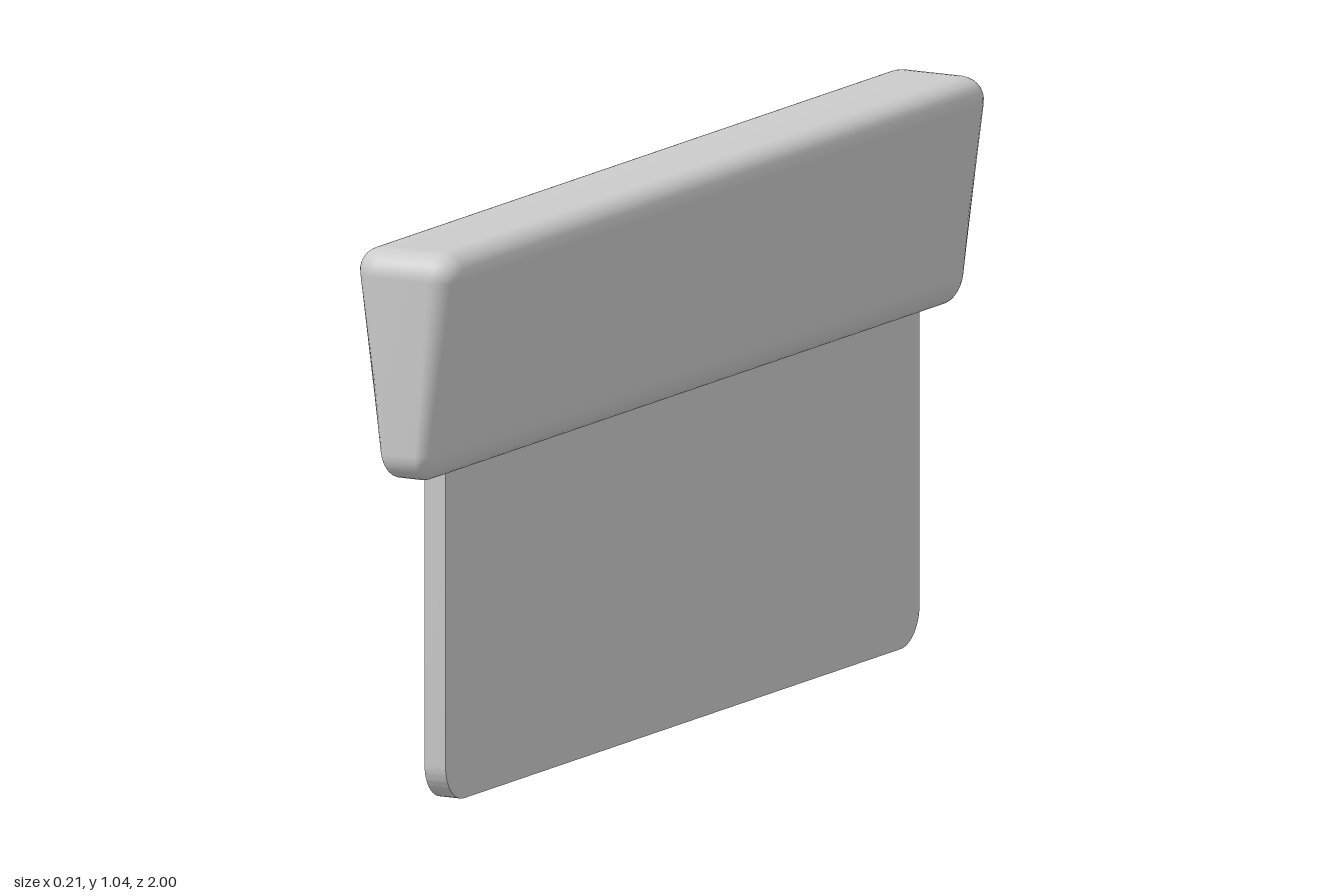
import * as THREE from 'three';
import { RoundedBoxGeometry } from 'three/addons/geometries/RoundedBoxGeometry.js';
import { mergeVertices, toCreasedNormals } from 'three/addons/utils/BufferGeometryUtils.js';

const material = new THREE.MeshStandardMaterial({ color: 0xcccccc });

// Rounded grip, narrowing towards its underside
function makeHandle() {
  const bottom = 0.615, top = 1.04;
  const box = new RoundedBoxGeometry(0.21, top - bottom, 2, 4, 0.05);
  box.translate(0, (top + bottom) / 2, 0);
  box.deleteAttribute('uv');
  box.deleteAttribute('normal');
  box.clearGroups();
  const geometry = mergeVertices(box, 1e-4);
  const pos = geometry.attributes.position;
  for (let i = 0; i < pos.count; i++) {
    const t = (pos.getY(i) - 0.66) / (0.99 - 0.66);
    pos.setX(i, pos.getX(i) * THREE.MathUtils.lerp(0.54, 1, t));
  }
  geometry.computeVertexNormals();
  const mesh = new THREE.Mesh(geometry, material);
  mesh.name = 'handle';
  return mesh;
}

// Thin flat blade with rounded lower corners, its top set into the handle
function makeBlade() {
  const half = 0.873, top = 0.7, r = 0.07, thickness = 0.044;
  const shape = new THREE.Shape();
  shape.moveTo(-half, top);
  shape.lineTo(-half, r);
  shape.absarc(-half + r, r, r, Math.PI, Math.PI * 1.5, false);
  shape.lineTo(half - r, 0);
  shape.absarc(half - r, r, r, -Math.PI / 2, 0, false);
  shape.lineTo(half, top);
  shape.closePath();
  const extruded = new THREE.ExtrudeGeometry(shape, { depth: thickness, bevelEnabled: false, curveSegments: 8 });
  extruded.translate(0, 0, -thickness / 2);
  extruded.rotateY(Math.PI / 2);
  const mesh = new THREE.Mesh(toCreasedNormals(extruded, 0.6), material);
  mesh.name = 'blade';
  return mesh;
}

export function createModel() {
  const group = new THREE.Group();
  group.name = 'scraper';
  group.add(makeHandle(), makeBlade());
  return group;
}
